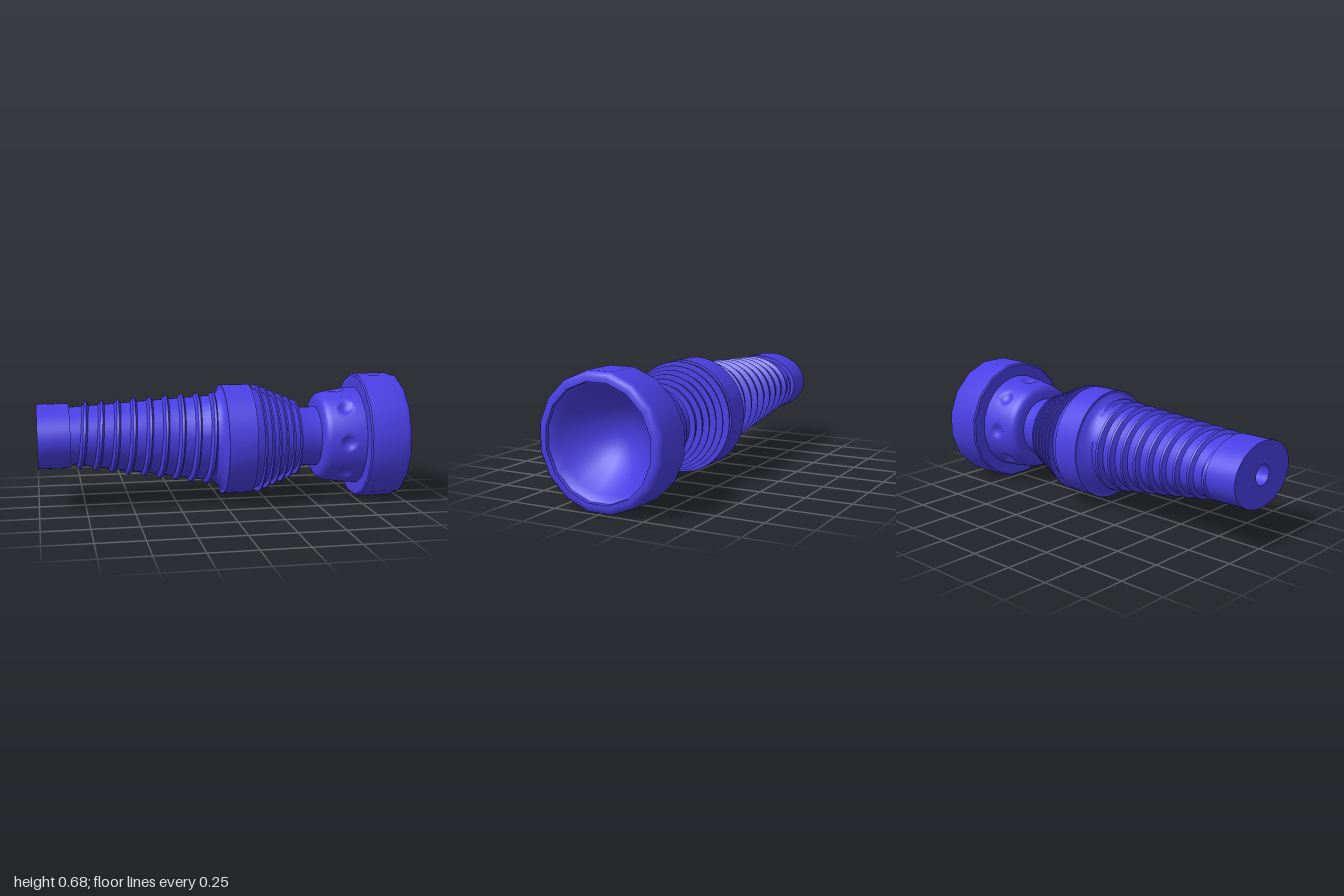
import * as THREE from 'three';
import { toCreasedNormals } from 'three/addons/utils/BufferGeometryUtils.js';

const CY = 0.3425; // height of the main axis
const material = new THREE.MeshStandardMaterial({ color: 0x4a3fe4 });

// Surface from a grid of points: fn(row, column) returns [x, y, z]
function grid(rows, cols, fn) {
  const pos = [], index = [];
  for (let i = 0; i <= rows; i++) for (let j = 0; j <= cols; j++) pos.push(...fn(i, j));
  for (let i = 0; i < rows; i++) for (let j = 0; j < cols; j++) {
    const a = i * (cols + 1) + j, c = a + cols + 1;
    index.push(a, a + 1, c, a + 1, c + 1, c);
  }
  const g = new THREE.BufferGeometry();
  g.setAttribute('position', new THREE.Float32BufferAttribute(pos, 3));
  g.setIndex(index);
  return toCreasedNormals(g, 0.6);
}

// Skin over elliptical rings [x, ry, rz = ry, centre height = CY] along the x axis
function loft(rings, seg = 48, phase = 0) {
  return grid(rings.length - 1, seg, (i, j) => {
    const [x, ry, rz = ry, cy = CY] = rings[i];
    const a = phase + ((j % seg) / seg) * Math.PI * 2;
    return [x, cy + ry * Math.cos(a), rz * Math.sin(a)];
  });
}

// Grip section at x: its lower side slopes, its width stays constant
function gripRing(x) {
  const t = (x + 0.83) / 0.8;
  return [x, 0.152 + 0.088 * t, 0.21, 0.39 - 0.04 * t];
}

export function createModel() {
  const group = new THREE.Group();
  const add = (name, geometry) => {
    const mesh = new THREE.Mesh(geometry, material);
    mesh.name = name;
    group.add(mesh);
  };

  // Tail cap with a round socket in its end
  add('tailCap', loft([
    [-0.9, 0, 0, 0.39], [-0.9, 0.055, 0.055, 0.39], [-1, 0.055, 0.055, 0.39],
    [-1, 0.173, 0.233, 0.39], [-0.83, 0.173, 0.235, 0.39], [-0.83, 0.14, 0.2, 0.39],
  ]));

  // Tapered grip flaring into the collar
  add('grip', loft([
    gripRing(-0.84), gripRing(-0.6), gripRing(-0.3), gripRing(-0.05),
    [-0.03, 0.25, 0.225, 0.346], [-0.015, 0.262, 0.245], [0, 0.285, 0.275],
  ]));

  // Spiral rib wound around the grip
  const section = [[-0.02, -0.1], [-0.007, 0.9], [0.006, 1], [0.018, -0.1]];
  const steps = 440;
  add('spiralRib', grid(section.length - 1, steps, (i, j) => {
    const turn = -0.2 + 9.1 * (j / steps), a = turn * Math.PI * 2;
    const xc = -0.047 - 0.0865 * turn;
    const [dx, h] = section[i];
    const [x, ry, rz, cy] = gripRing(xc + dx);
    const t = (xc + 0.83) / 0.8, fade = Math.min(1, j / 12, (steps - j) / 12);
    return [x, cy + (ry + h * 0.02 * fade) * Math.cos(a),
      (rz + h * (0.02 + 0.016 * t) * fade) * Math.sin(a)];
  }));

  // Collar, cone and neck
  const coneRadius = (x) => 0.29 - (0.125 * (x - 0.155)) / 0.305;
  add('collar', loft([
    [0, 0.2], [0, 0.302, 0.288], [0.155, 0.302, 0.288], [0.156, 0.29, 0.28],
    [0.46, 0.165], [0.56, 0.165],
  ]));

  // Thin cooling fins on the cone
  for (let k = 0; k < 6; k++) {
    const x = 0.2 + 0.043 * k, r = coneRadius(x);
    add('coolingFin', loft([
      [x - 0.004, r - 0.03], [x - 0.004, r + 0.028], [x + 0.004, r + 0.028], [x + 0.004, r - 0.03],
    ]));
  }

  // Head shell with eight shallow dimples around it
  const profile = [[0.54, 0.15], [0.54, 0.212], [0.548, 0.229], [0.56, 0.24], [0.575, 0.246]];
  for (let k = 1; k <= 24; k++) {
    const t = k / 24;
    profile.push([0.575 + 0.2 * t, 0.246 + 0.04 * t - 0.015 * t * t]);
  }
  add('head', grid(profile.length - 1, 128, (i, j) => {
    const [x, r] = profile[i];
    const a = ((j % 128) / 128) * Math.PI * 2, spacing = Math.PI / 4;
    const arc = (a - Math.round(a / spacing) * spacing) * r;
    const d = Math.min(1, Math.hypot(x - 0.665, arc) / 0.045);
    const rr = r - 0.022 * (1 - d * d);
    return [x, CY + rr * Math.cos(a), rr * Math.sin(a)];
  }));

  // Sixteen-sided bezel with a lip and a concave reflector
  const bezel = [
    [0.765, 0.24], [0.765, 0.34], [0.772, 0.349], [0.965, 0.349], [0.982, 0.345],
    [0.994, 0.333], [1, 0.318], [1, 0.297], [0.98, 0.295], [0.975, 0.285],
  ];
  for (let k = 1; k <= 12; k++) {
    const s = 1 - k / 12;
    bezel.push([0.76 + 0.215 * s * s, 0.285 * s]);
  }
  add('bezel', loft(bezel, 16, Math.PI / 16));

  return group;
}
